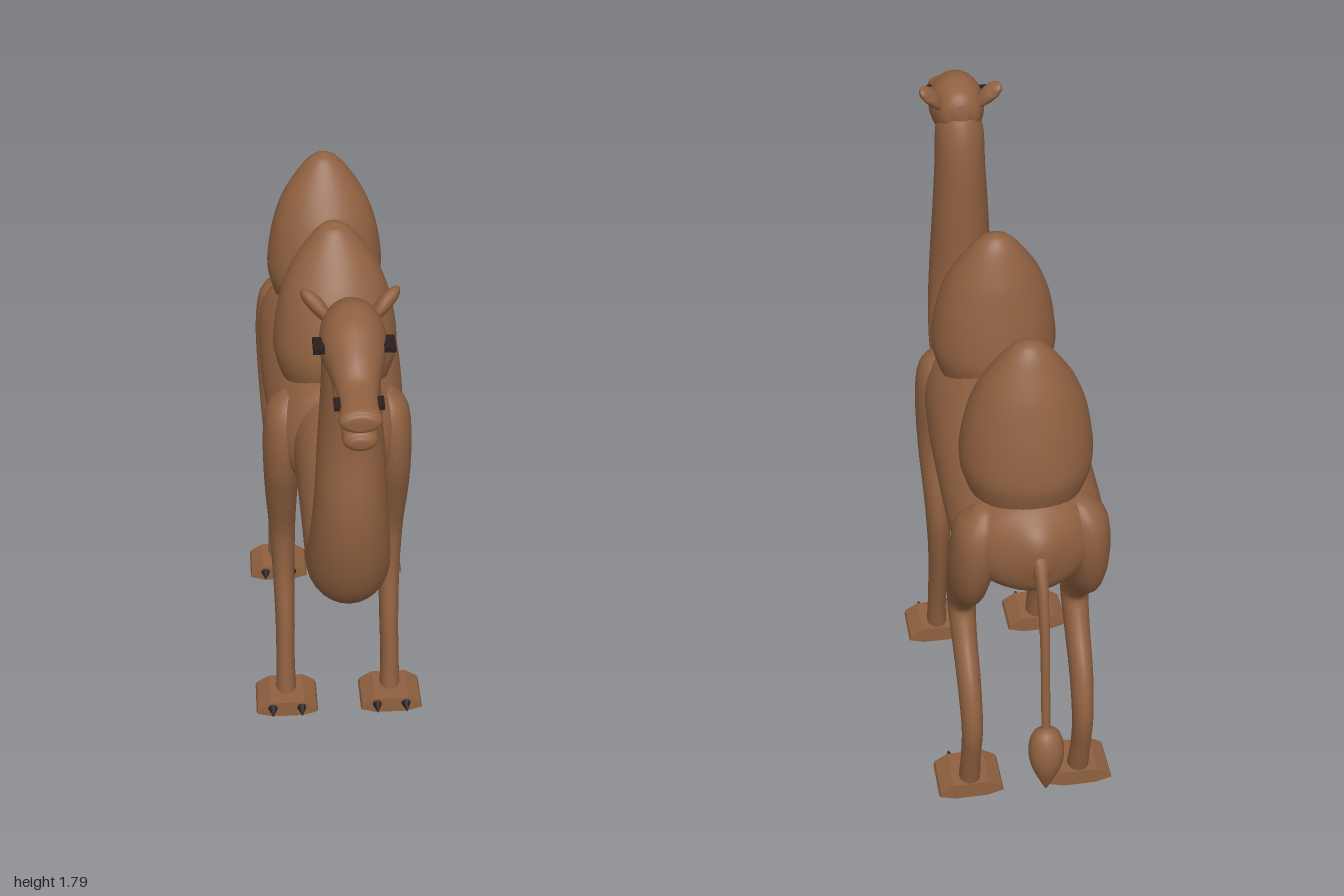
import * as THREE from 'three';

const coat = new THREE.MeshStandardMaterial({ color: 0x8f6040 });
coat.name = 'brown coat';
const dark = new THREE.MeshStandardMaterial({ color: 0x2a1e1e });
dark.name = 'dark horn';

// Smooth skin over elliptical sections [x, y, z, halfWidth, halfThickness]
function loft(name, sections, steps = 40, sides = 28) {
  const path = new THREE.CatmullRomCurve3(sections.map(s => new THREE.Vector3(s[0], s[1], s[2])), false, 'catmullrom');
  const size = new THREE.CatmullRomCurve3(sections.map(s => new THREE.Vector3(s[3], s[4], 0)), false, 'catmullrom');
  const X = new THREE.Vector3(1, 0, 0);
  const pos = [], idx = [];
  for (let i = 0; i <= steps; i++) {
    const t = i / steps, c = path.getPoint(t), r = size.getPoint(t);
    const n = path.getTangent(t).cross(X).normalize();
    for (let j = 0; j < sides; j++) {
      const a = j / sides * Math.PI * 2;
      const p = c.clone().addScaledVector(X, Math.cos(a) * Math.max(r.x, 0.002))
        .addScaledVector(n, Math.sin(a) * Math.max(r.y, 0.002));
      pos.push(p.x, p.y, p.z);
      if (i < steps) {
        const k = (j + 1) % sides, A = i * sides + j, B = i * sides + k;
        idx.push(A, B, A + sides, B, B + sides, A + sides);
      }
    }
  }
  // End caps
  const first = path.getPoint(0), last = path.getPoint(1), m = pos.length / 3, e = steps * sides;
  pos.push(first.x, first.y, first.z, last.x, last.y, last.z);
  for (let j = 0; j < sides; j++) {
    const k = (j + 1) % sides;
    idx.push(m, k, j, m + 1, e + j, e + k);
  }
  const g = new THREE.BufferGeometry();
  g.setAttribute('position', new THREE.Float32BufferAttribute(pos, 3));
  g.setIndex(idx);
  g.computeVertexNormals();
  const mesh = new THREE.Mesh(g, coat);
  mesh.name = name;
  return mesh;
}

function part(name, geometry, material, x, y, z) {
  const mesh = new THREE.Mesh(geometry, material);
  mesh.name = name;
  mesh.position.set(x, y, z);
  return mesh;
}

// Splayed foot with two claws, toes toward +z
function foot(x, z) {
  const g = new THREE.Group();
  g.name = 'foot';
  const outline = new THREE.Shape([[-0.05, 0.005], [0.05, 0.005], [0.1, 0.02], [0.095, 0.035], [0.055, 0.06],
    [-0.055, 0.06], [-0.095, 0.035], [-0.1, 0.02]].map(p => new THREE.Vector2(...p)));
  const pad = new THREE.ExtrudeGeometry(outline, { depth: 0.14, bevelEnabled: false });
  g.add(part('footPad', pad, coat, 0, 0, -0.07));
  for (const s of [-1, 1]) {
    const claw = part('claw', new THREE.ConeGeometry(0.019, 0.05, 10), dark, s * 0.047, 0.038, 0.084);
    claw.rotation.x = Math.PI / 2 + 0.1;
    g.add(claw);
  }
  g.position.set(x, 0, z);
  return g;
}

export function createModel() {
  const model = new THREE.Group();
  model.name = 'camel';

  model.add(loft('body', [
    [0, 1.03, 0.23, 0.09, 0.12], [0, 1.03, 0.17, 0.165, 0.19], [0, 1.045, 0.05, 0.2, 0.205],
    [0, 1.05, -0.12, 0.215, 0.2], [0, 1.055, -0.3, 0.22, 0.19], [0, 1.04, -0.5, 0.22, 0.178],
    [0, 1.03, -0.64, 0.21, 0.17], [0, 1.035, -0.73, 0.16, 0.145], [0, 1.04, -0.79, 0.08, 0.095],
    [0, 1.04, -0.82, 0.02, 0.04]], 48, 36));

  model.add(loft('neck', [
    [0, 1.05, 0.1, 0.14, 0.17], [0, 1.005, 0.23, 0.135, 0.185], [0, 0.92, 0.36, 0.125, 0.165],
    [0, 0.872, 0.47, 0.12, 0.138], [0, 0.905, 0.57, 0.12, 0.132], [0, 1.02, 0.632, 0.112, 0.122],
    [0, 1.18, 0.65, 0.1, 0.12], [0, 1.35, 0.638, 0.09, 0.106], [0, 1.52, 0.637, 0.08, 0.102],
    [0, 1.64, 0.642, 0.075, 0.085], [0, 1.73, 0.66, 0.05, 0.05]], 56, 28));

  model.add(loft('head', [
    [0, 1.71, 0.578, 0.02, 0.025], [0, 1.707, 0.6, 0.06, 0.065], [0, 1.695, 0.66, 0.083, 0.1],
    [0, 1.685, 0.73, 0.086, 0.1], [0, 1.668, 0.8, 0.07, 0.075], [0, 1.643, 0.87, 0.053, 0.046],
    [0, 1.633, 0.94, 0.05, 0.038], [0, 1.628, 0.985, 0.054, 0.032], [0, 1.628, 1, 0.035, 0.018]], 44, 24));
  model.add(loft('lowerJaw', [
    [0, 1.605, 0.68, 0.05, 0.04], [0, 1.6, 0.78, 0.058, 0.035], [0, 1.582, 0.88, 0.045, 0.032],
    [0, 1.57, 0.96, 0.045, 0.033], [0, 1.568, 0.985, 0.04, 0.027], [0, 1.568, 0.996, 0.02, 0.012]], 24, 20));

  // Humps
  for (const [z, peak, dy] of [[-0.02, -0.065, 0], [-0.57, -0.6, -0.025]]) {
    const lean = t => z + (peak - z) * t;
    model.add(loft('hump', [
      [0, 1.13 + dy, z, 0.14, 0.14], [0, 1.2 + dy, z, 0.17, 0.168], [0, 1.28 + dy, lean(0.05), 0.185, 0.18],
      [0, 1.4 + dy, lean(0.3), 0.17, 0.152], [0, 1.5 + dy, lean(0.65), 0.137, 0.112],
      [0, 1.58 + dy, lean(0.9), 0.088, 0.07], [0, 1.63 + dy, lean(1), 0.044, 0.038],
      [0, 1.647 + dy, lean(1), 0.008, 0.008]], 36, 32));
  }

  // Paired parts
  for (const s of [-1, 1]) {
    model.add(loft('frontLeg', [
      [s * 0.14, 1.17, 0.09, 0.025, 0.03], [s * 0.155, 1.12, 0.09, 0.055, 0.075],
      [s * 0.165, 1.03, 0.09, 0.06, 0.097], [s * 0.17, 0.92, 0.088, 0.056, 0.09],
      [s * 0.172, 0.8, 0.068, 0.05, 0.07], [s * 0.171, 0.67, 0.034, 0.043, 0.063],
      [s * 0.17, 0.57, 0.028, 0.039, 0.06], [s * 0.169, 0.45, 0.045, 0.034, 0.052],
      [s * 0.168, 0.3, 0.085, 0.031, 0.05], [s * 0.17, 0.15, 0.115, 0.03, 0.043],
      [s * 0.17, 0.03, 0.135, 0.034, 0.042]], 44, 20));
    model.add(loft('hindLeg', [
      [s * 0.13, 1.15, -0.67, 0.025, 0.03], [s * 0.15, 1.09, -0.67, 0.06, 0.085],
      [s * 0.16, 0.99, -0.655, 0.066, 0.105], [s * 0.168, 0.88, -0.615, 0.058, 0.1],
      [s * 0.17, 0.77, -0.53, 0.05, 0.074], [s * 0.17, 0.66, -0.48, 0.043, 0.056],
      [s * 0.17, 0.56, -0.525, 0.038, 0.052], [s * 0.169, 0.44, -0.615, 0.035, 0.05],
      [s * 0.168, 0.31, -0.66, 0.032, 0.042], [s * 0.17, 0.17, -0.638, 0.03, 0.036],
      [s * 0.17, 0.03, -0.6, 0.034, 0.038]], 48, 20));
    model.add(foot(s * 0.17, 0.15), foot(s * 0.17, -0.58));

    model.add(loft('ear', [
      [s * 0.055, 1.715, 0.635, 0.02, 0.02], [s * 0.078, 1.74, 0.625, 0.024, 0.03],
      [s * 0.1, 1.768, 0.612, 0.025, 0.03], [s * 0.115, 1.785, 0.6, 0.014, 0.018],
      [s * 0.121, 1.791, 0.596, 0.003, 0.003]], 16, 14));

    // Slit eyes and nostrils
    const eye = part('eye', new THREE.BoxGeometry(0.03, 0.016, 0.055), dark, s * 0.09, 1.708, 0.748);
    eye.rotation.x = 0.1;
    const nostril = part('nostril', new THREE.BoxGeometry(0.02, 0.012, 0.04), dark, s * 0.053, 1.643, 0.925);
    nostril.rotation.x = 0.15;
    model.add(eye, nostril);
  }

  model.add(loft('tail', [
    [0, 1.06, -0.76, 0.045, 0.05], [0, 1.02, -0.815, 0.022, 0.032], [0, 0.95, -0.858, 0.016, 0.024],
    [0, 0.84, -0.895, 0.014, 0.018], [0, 0.68, -0.918, 0.013, 0.014], [0, 0.52, -0.938, 0.013, 0.014]], 32, 14));
  model.add(loft('tailTuft', [
    [0, 0.55, -0.936, 0.01, 0.01], [0, 0.53, -0.94, 0.038, 0.034], [0, 0.48, -0.947, 0.051, 0.049],
    [0, 0.42, -0.95, 0.043, 0.043], [0, 0.36, -0.952, 0.018, 0.018], [0, 0.328, -0.953, 0.003, 0.003]], 24, 18));

  return model;
}
